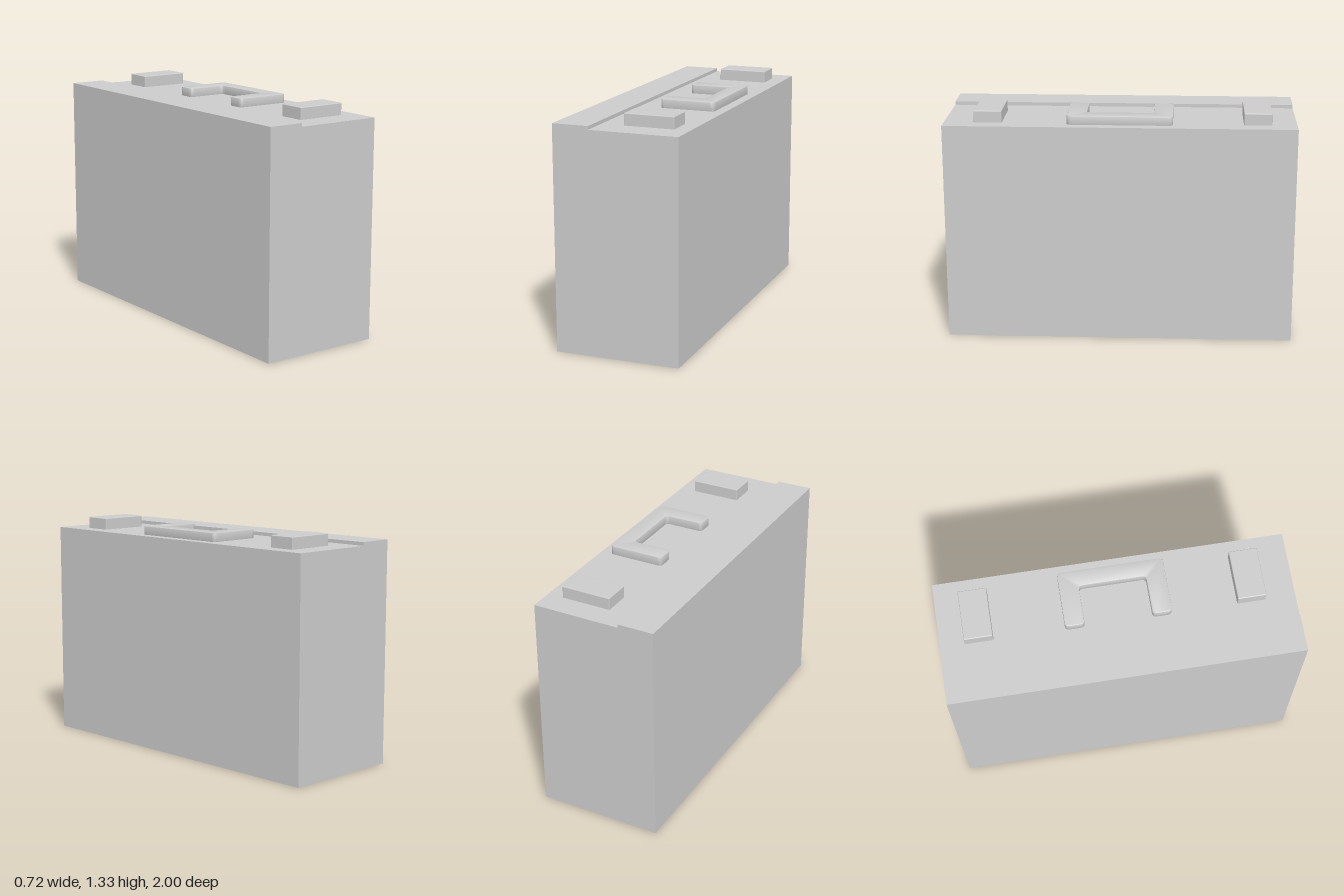
import * as THREE from 'three';
import { RoundedBoxGeometry } from 'three/addons/geometries/RoundedBoxGeometry.js';
import { toCreasedNormals } from 'three/addons/utils/BufferGeometryUtils.js';

const DECK = 1.265; // height of the lower top face

// Closed outline with every corner rounded by r
function roundedShape(points, r) {
  const shape = new THREE.Shape();
  const pts = points.map(([x, y]) => new THREE.Vector2(x, y));
  pts.forEach((p, i) => {
    const prev = pts[(i + pts.length - 1) % pts.length];
    const next = pts[(i + 1) % pts.length];
    const a = prev.clone().sub(p).setLength(r).add(p);
    const b = next.clone().sub(p).setLength(r).add(p);
    if (i === 0) shape.moveTo(a.x, a.y);
    else shape.lineTo(a.x, a.y);
    shape.quadraticCurveTo(p.x, p.y, b.x, b.y);
  });
  shape.closePath();
  return shape;
}

export function createModel() {
  const group = new THREE.Group();
  const material = new THREE.MeshStandardMaterial({ color: 0xcccccc });
  const add = (name, geometry, x = 0, y = 0, z = 0) => {
    const mesh = new THREE.Mesh(geometry, material);
    mesh.name = name;
    mesh.position.set(x, y, z);
    group.add(mesh);
  };

  // Case: stepped cross-section with a raised strip along the -x edge
  const section = new THREE.Shape([
    [-0.36, 0], [0.36, 0], [0.36, DECK], [-0.15, DECK], [-0.15, 1.285], [-0.36, 1.285],
  ].map(([x, y]) => new THREE.Vector2(x, y)));
  add('case', new THREE.ExtrudeGeometry(section, { depth: 2, bevelEnabled: false }), 0, 0, -1);

  // Terminal pads near both ends
  for (const [name, z] of [['frontPad', 0.75], ['backPad', -0.78]]) {
    add(name, new RoundedBoxGeometry(0.29, 0.075, 0.16, 2, 0.005), 0.125, 1.296, z);
  }

  // U-shaped handle lying on the deck, open towards -x
  const bevel = 0.004;
  const outline = roundedShape([
    [-0.025, -0.3], [0.3, -0.3], [0.3, 0.3], [-0.025, 0.3],
    [-0.025, 0.19], [0.205, 0.19], [0.205, -0.19], [-0.025, -0.19],
  ], 0.025);
  const handle = new THREE.ExtrudeGeometry(outline, {
    depth: 0.05, bevelThickness: bevel, bevelSize: bevel, bevelOffset: -bevel,
    bevelSegments: 2, curveSegments: 8,
  });
  handle.rotateX(-Math.PI / 2);
  add('handle', toCreasedNormals(handle, 0.6), 0, 1.316 - 0.05 - bevel, 0);

  return group;
}
